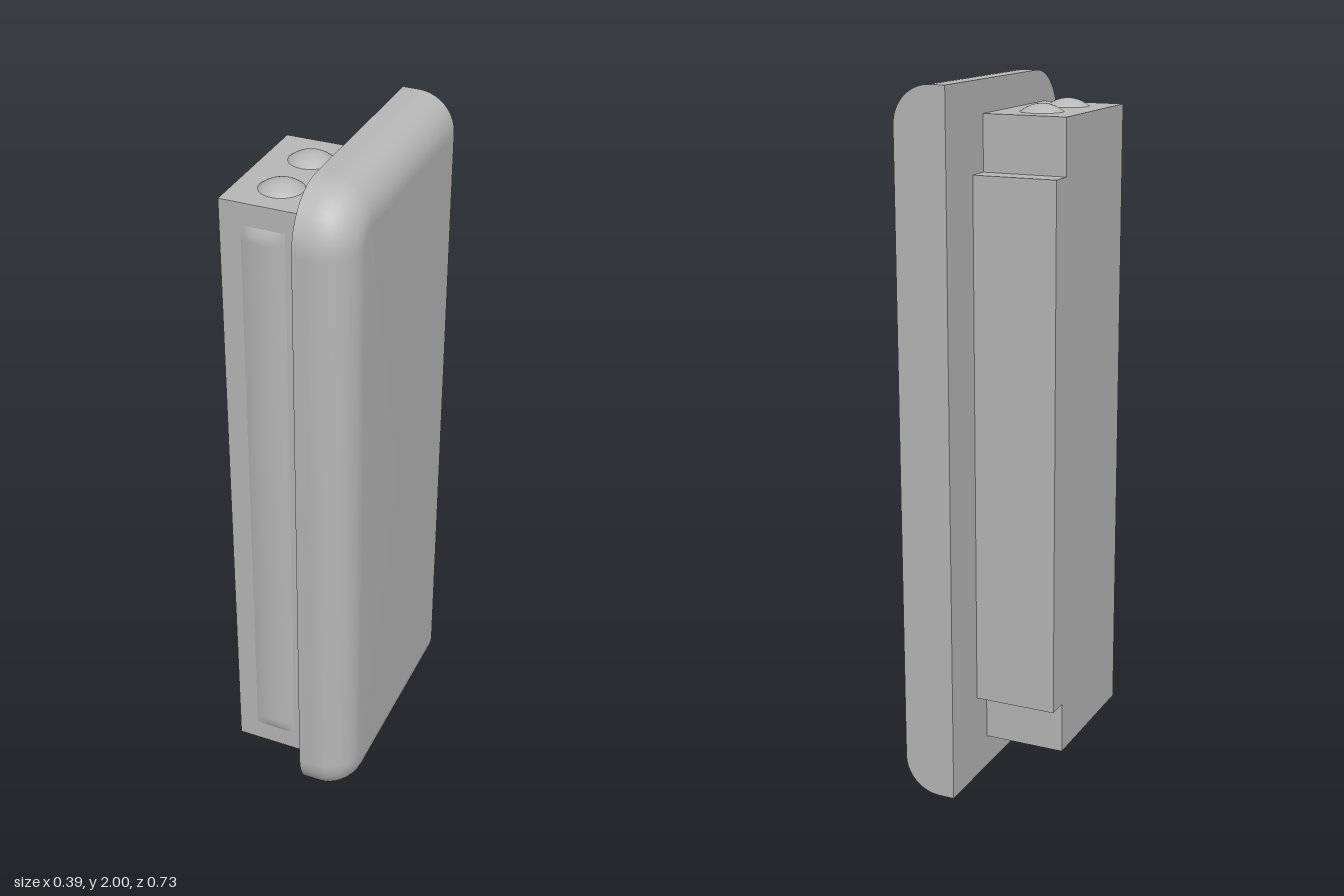
import * as THREE from 'three';
import { toCreasedNormals } from 'three/addons/utils/BufferGeometryUtils.js';

const BACK = -0.363, FRONT = 0.363, HEIGHT = 2, CORNER = 0.15, FILLET = 0.105;
const INNER_X = 0.045, OUTER_X = 0.195;

// Outline of the cover plate at one depth: straight at the back, rounded at both front corners
function plateRing(x, inset) {
  const r = CORNER - inset, steps = 10, ring = [];
  const cz = FRONT - CORNER, low = CORNER, high = HEIGHT - CORNER;
  ring.push([x, inset, BACK], [x, inset, cz - 0.01]);
  for (let i = 0; i <= steps; i++) {
    const a = (i / steps) * Math.PI / 2;
    ring.push([x, low - r * Math.cos(a), cz + r * Math.sin(a)]);
  }
  ring.push([x, low + 0.01, cz + r], [x, high - 0.01, cz + r]);
  for (let i = 0; i <= steps; i++) {
    const a = (i / steps) * Math.PI / 2;
    ring.push([x, high + r * Math.sin(a), cz + r * Math.cos(a)]);
  }
  ring.push([x, HEIGHT - inset, cz - 0.01], [x, HEIGHT - inset, BACK]);
  return ring;
}

// Plate lofted through rings, with a quarter-round edge on the outer side
function plateGeometry() {
  const sections = [[INNER_X, 0], [OUTER_X - FILLET - 0.008, 0]];
  for (let i = 0; i <= 10; i++) {
    const a = (i / 10) * Math.PI / 2;
    sections.push([OUTER_X - FILLET + FILLET * Math.sin(a), FILLET * (1 - Math.cos(a))]);
  }
  sections.push([OUTER_X, FILLET + 0.006]);
  const rings = sections.map(([x, inset]) => plateRing(x, inset));
  const n = rings[0].length, points = rings.flat(), index = [];
  for (let k = 0; k < rings.length - 1; k++) {
    for (let i = 0; i < n; i++) {
      const j = (i + 1) % n;
      const a = k * n + i, b = k * n + j, c = a + n, d = b + n;
      index.push(a, c, b, b, c, d);
    }
  }
  // Flat caps on both sides
  const inner = points.length, outer = inner + 1, last = (rings.length - 1) * n;
  points.push([INNER_X, 1, 0], [OUTER_X, 1, 0]);
  for (let i = 0; i < n; i++) {
    const j = (i + 1) % n;
    index.push(inner, i, j, outer, last + j, last + i);
  }
  const geometry = new THREE.BufferGeometry();
  geometry.setAttribute('position', new THREE.Float32BufferAttribute(points.flat(), 3));
  geometry.setIndex(index);
  return toCreasedNormals(geometry, 0.5);
}

// Long shallow lens: curved across its width, falling to the surface at both ends
function lensGeometry(width, length, rise) {
  const geometry = new THREE.PlaneGeometry(width, length, 16, 84);
  const p = geometry.attributes.position;
  for (let i = 0; i < p.count; i++) {
    const u = p.getX(i) / (width / 2);
    const end = Math.min(1, (length / 2 - Math.abs(p.getY(i))) / 0.02);
    p.setZ(i, rise * (1 - u * u) * end);
  }
  geometry.computeVertexNormals();
  return geometry;
}

export function createModel() {
  const model = new THREE.Group();
  const grey = new THREE.MeshStandardMaterial({ color: 0xb8b8b8 });
  grey.name = 'grey';

  function add(name, geometry, x = 0, y = 0, z = 0) {
    const mesh = new THREE.Mesh(geometry, grey);
    mesh.name = name;
    mesh.position.set(x, y, z);
    model.add(mesh);
    return mesh;
  }

  add('coverPlate', plateGeometry());

  // Body block and the shorter rail on its back
  add('bodyBlock', new THREE.BoxGeometry(0.24, 1.815, 0.41), -0.075, 1.0025, 0.065);
  add('backRail', new THREE.BoxGeometry(0.24, 1.51, 0.065), -0.075, 1.0, -0.1725);

  // Shallow domes, two on top and two underneath
  const radius = 0.06, rise = 0.022;
  const sphere = (radius * radius + rise * rise) / (2 * rise);
  const cap = new THREE.SphereGeometry(sphere, 32, 10, 0, Math.PI * 2, 0, Math.asin(radius / sphere));
  cap.translate(0, rise - sphere, 0);
  for (const z of [-0.025, 0.155]) {
    add('topDome', cap, -0.075, 1.91, z);
    add('bottomDome', cap, -0.075, 0.095, z).rotation.x = Math.PI;
  }

  // Raised strip along the front of the body
  add('frontLens', lensGeometry(0.122, 1.69, 0.01), -0.075, 1.003, 0.2702);

  return model;
}
